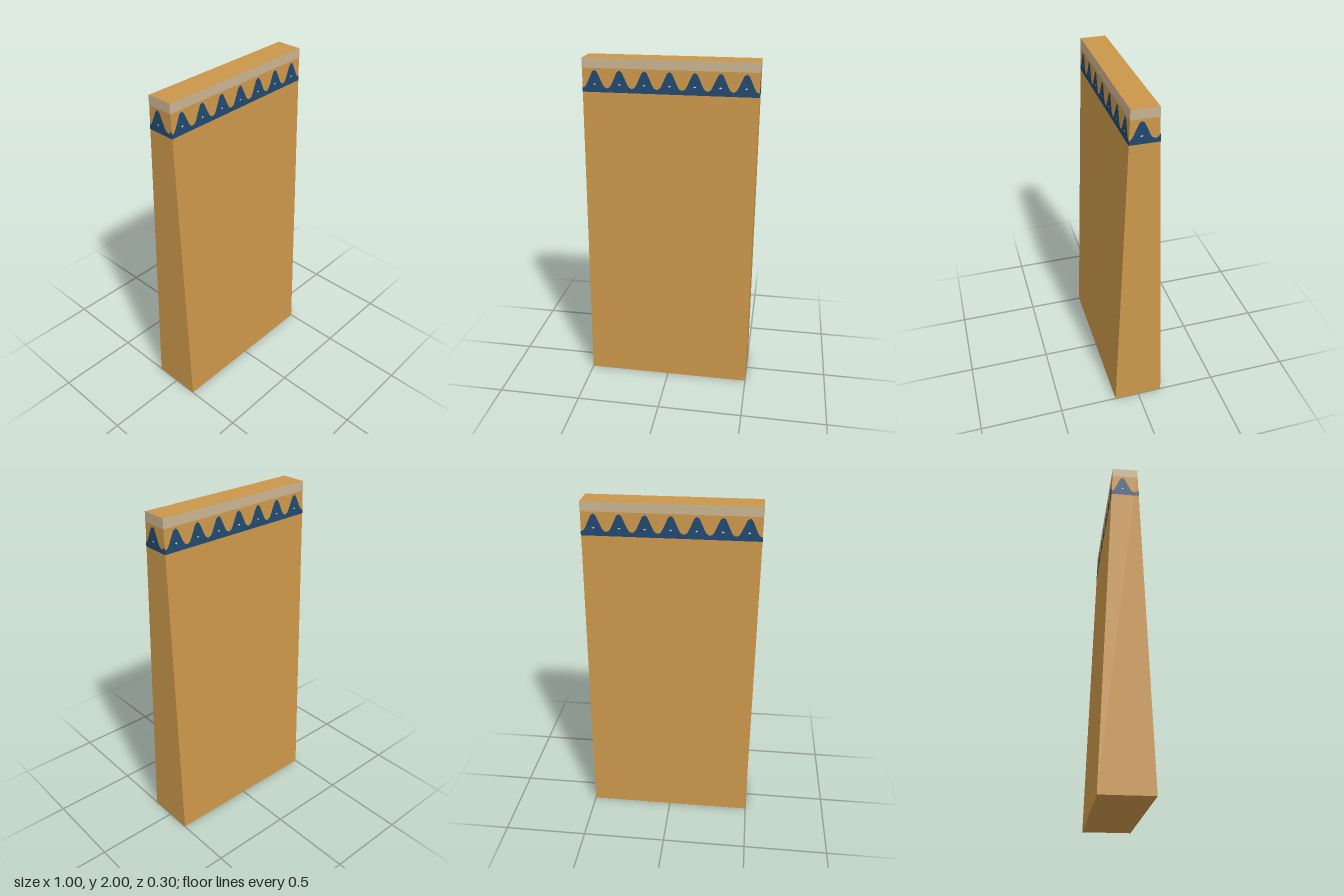
import * as THREE from 'three';

const mat = (name, color) => new THREE.MeshStandardMaterial({ name, color });

// Half thickness of the tapered slab at height y
const halfDepth = (y) => 0.15 - 0.0375 * y;

// Half outline of one tooth: distance from its centre, height
const TOOTH = [[0, 1.934], [0.014, 1.925], [0.045, 1.857], [0.055, 1.841], [0.0714, 1.833]];
const PITCH = 1 / 7;

function toothHeight(u) {
  const d = Math.abs(u - Math.round(u / PITCH) * PITCH);
  for (let i = 1; i < TOOTH.length; i++) {
    const [d0, y0] = TOOTH[i - 1], [d1, y1] = TOOTH[i];
    if (d <= d1) return y0 + (y1 - y0) * (d - d0) / (d1 - d0);
  }
  return TOOTH[TOOTH.length - 1][1];
}

// Lay a flat point (u, y) just over a wall: broad walls lean, end walls are upright
function onWall(u, y, isEnd, lift) {
  const w = isEnd ? halfDepth(y) + lift : 0.5 + lift;
  const d = isEnd ? 0.5 : halfDepth(y);
  return [THREE.MathUtils.clamp(u, -w, w), y, d + lift];
}

// Painted strip between two height functions
function strip(us, low, high, isEnd, lift) {
  const pos = [], index = [];
  us.forEach((u, i) => {
    pos.push(...onWall(u, low(u), isEnd, lift), ...onWall(u, high(u), isEnd, lift));
    if (i) {
      const a = 2 * i - 2;
      index.push(a, a + 2, a + 3, a, a + 3, a + 1);
    }
  });
  const g = new THREE.BufferGeometry();
  g.setAttribute('position', new THREE.Float32BufferAttribute(pos, 3));
  g.setIndex(index);
  g.computeVertexNormals();
  return g;
}

export function createModel() {
  const ochre = mat('ochre', 0xcb974a);
  const sand = mat('sand', 0xc9b391);
  const blue = mat('deep blue', 0x20486f);
  const white = mat('pale dots', 0xd8d8d0);
  const model = new THREE.Group();
  model.name = 'taperedWall';

  // Slab, narrowing towards the top
  const slab = new THREE.BoxGeometry(1, 2, 0.3).translate(0, 1, 0);
  const p = slab.attributes.position;
  for (let i = 0; i < p.count; i++) p.setZ(i, Math.sign(p.getZ(i)) * halfDepth(p.getY(i)));
  slab.computeVertexNormals();
  const body = new THREE.Mesh(slab, ochre);
  body.name = 'slab';
  model.add(body);

  // The painted border runs round all four walls
  for (let k = 0; k < 4; k++) {
    const isEnd = k % 2 === 1;
    const edge = isEnd ? 0.09 : 0.51;
    const shift = isEnd ? -0.016 : 0;
    const wall = new THREE.Group();
    wall.name = ['frontBorder', 'leftBorder', 'backBorder', 'rightBorder'][k];
    wall.rotation.y = k * Math.PI / 2;
    const add = (name, geometry, material) => {
      const m = new THREE.Mesh(geometry, material);
      m.name = name;
      wall.add(m);
    };

    add('rimBand', strip([-edge, edge], () => 1.945, () => 2, isEnd, 0.001), sand);

    // Row of flared teeth standing on a plain band
    const us = [-edge, edge];
    for (let n = -4; n <= 4; n++) {
      for (const [d] of TOOTH) us.push(n * PITCH + d + shift, n * PITCH - d + shift);
    }
    const columns = us.filter((u) => Math.abs(u) <= edge).sort((a, b) => a - b);
    add('toothBand', strip(columns, () => 1.81, (u) => toothHeight(u - shift), isEnd, 0.001), blue);

    // Small dot in each tooth
    const reach = isEnd ? 0 : 3;
    for (let n = -reach; n <= reach; n++) {
      const c = n * PITCH + shift;
      const dot = strip([c - 0.009, c, c + 0.009],
        (u) => 1.855 - (u === c ? 0.005 : 0), (u) => 1.855 + (u === c ? 0.005 : 0), isEnd, 0.002);
      add('toothDot', dot, white);
    }
    model.add(wall);
  }
  return model;
}
